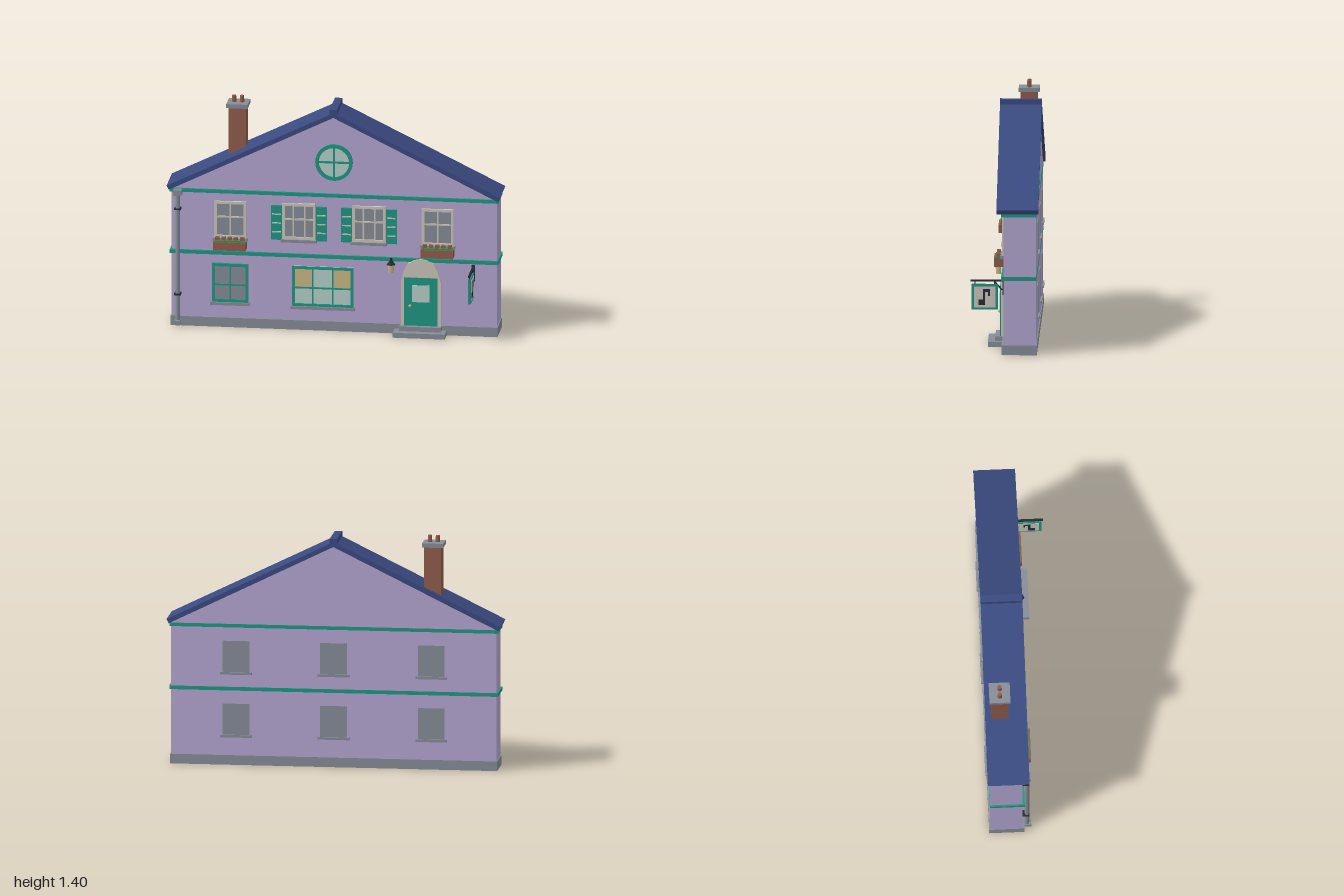
import * as THREE from 'three';

const mat = (name, color) => {
  const m = new THREE.MeshStandardMaterial({ color });
  m.name = name;
  return m;
};

export function createModel() {
  const house = new THREE.Group();
  house.name = 'house';
  const wall = mat('lavender plaster', 0xb3a5cf), teal = mat('teal paint', 0x1f9681);
  const navy = mat('navy slate', 0x3a4a80), stone = mat('grey stone', 0x868d97);
  const brick = mat('brick', 0x8f5b4c), cream = mat('cream trim', 0xcbc5ba);
  const pale = mat('pale glass', 0xb6cfc9), gold = mat('warm yellow', 0xc9b885);
  const dark = mat('dark iron', 0x2a2a38), green = mat('leaf green', 0x4c8a4c);
  const front = 0.005, back = -0.187;

  const add = (parent, name, geo, material) => {
    const m = new THREE.Mesh(geo, material);
    m.name = name;
    parent.add(m);
    return m;
  };
  // Box given by its limits on each axis
  const box = (parent, name, material, x0, x1, y0, y1, z0, z1) => {
    const m = add(parent, name, new THREE.BoxGeometry(x1 - x0, y1 - y0, z1 - z0), material);
    m.position.set((x0 + x1) / 2, (y0 + y1) / 2, (z0 + z1) / 2);
    return m;
  };
  const cyl = (parent, name, material, r0, r1, x, y0, y1, z, sides = 12) => {
    const m = add(parent, name, new THREE.CylinderGeometry(r0, r1, y1 - y0, sides), material);
    m.position.set(x, (y0 + y1) / 2, z);
    return m;
  };
  const prism = (parent, name, material, pts, z0, z1) => {
    const shape = new THREE.Shape(pts.map(p => new THREE.Vector2(...p)));
    const geo = new THREE.ExtrudeGeometry(shape, { depth: z1 - z0, bevelEnabled: false });
    geo.translate(0, 0, z0);
    return add(parent, name, geo, material);
  };
  const group = name => {
    const g = new THREE.Group();
    g.name = name;
    house.add(g);
    return g;
  };

  // Walls, plinth and bands
  prism(house, 'walls', wall, [[-0.975, 0.03], [0.975, 0.03], [0.975, 0.857], [0, 1.337], [-0.975, 0.857]], back, front);
  box(house, 'plinth', stone, -0.98, 0.98, 0, 0.058, -0.193, 0.017);
  box(house, 'floorBand', teal, -0.985, 0.985, 0.449, 0.471, -0.19, 0.019);
  box(house, 'eavesBand', teal, -0.985, 0.985, 0.831, 0.852, -0.19, 0.019);

  // Roof slopes and ridge
  for (const s of [-1, 1]) {
    const pts = [[0, 1.335], [s * 0.988, 0.849], [s, 0.875], [0, 1.365]];
    prism(house, s > 0 ? 'leftRoofSlope' : 'rightRoofSlope', navy, pts, -0.202, 0.047);
  }
  box(house, 'ridge', navy, -0.022, 0.022, 1.35, 1.385, -0.202, 0.047);

  // Chimney
  const chimney = group('chimney');
  box(chimney, 'stack', brick, -0.642, -0.538, 0.98, 1.342, -0.165, -0.063);
  box(chimney, 'chimneyCap', stone, -0.655, -0.527, 1.34, 1.365, -0.177, -0.052);
  for (const x of [-0.615, -0.568]) cyl(chimney, 'chimneyPot', brick, 0.012, 0.014, x, 1.365, 1.405, -0.114);

  // Framed window; xs and ys list the glazing bars
  const frameWindow = (name, paint, glass, x0, x1, y0, y1, xs, ys, t) => {
    const g = group(name), z = 0.021;
    box(g, 'glass', glass, x0, x1, y0, y1, front - 0.005, 0.011);
    box(g, 'frameSide', paint, x0, x0 + t, y0, y1, 0, z);
    box(g, 'frameSide', paint, x1 - t, x1, y0, y1, 0, z);
    box(g, 'frameTop', paint, x0 + t, x1 - t, y1 - t, y1, 0, z);
    box(g, 'frameBottom', paint, x0 + t, x1 - t, y0, y0 + t, 0, z);
    for (const x of xs) box(g, 'glazingBar', paint, x - 0.005, x + 0.005, y0 + t, y1 - t, 0, 0.017);
    for (const y of ys) box(g, 'glazingBar', paint, x0 + t, x1 - t, y - 0.005, y + 0.005, 0, 0.016);
    box(g, 'sill', stone, x0 - 0.008, x1 + 0.008, y0 - 0.016, y0 + 0.001, 0, 0.032);
    return g;
  };

  for (const s of [-1, 1]) {
    // Outer upper windows with flower boxes
    const c = s * 0.622;
    const w = frameWindow('flowerWindow', cream, stone, c - 0.096, c + 0.096, 0.555, 0.782, [c], [0.685], 0.016);
    box(w, 'flowerBox', brick, c - 0.098, c + 0.098, 0.49, 0.54, 0, 0.068);
    box(w, 'leaves', green, c - 0.09, c + 0.09, 0.538, 0.55, 0.014, 0.06);
    for (let i = 0; i < 5; i++) {
      const x = c + (i - 2) * 0.037;
      box(w, 'flower', brick, x - 0.012, x + 0.012, 0.545, 0.567, 0.03, 0.052);
    }
    // Inner upper windows with shutters
    const d = s * 0.21;
    const v = frameWindow('shutteredWindow', cream, stone, d - 0.1, d + 0.1, 0.56, 0.784, [d - 0.034, d + 0.034], [0.685], 0.016);
    for (const k of [-1, 1]) {
      const x = d + k * 0.134;
      box(v, 'shutter', teal, x - 0.033, x + 0.033, 0.555, 0.767, 0, 0.018);
      for (const y of [0.605, 0.66, 0.715]) box(v, 'slat', cream, x - 0.026, x + 0.026, y - 0.004, y + 0.004, 0.016, 0.021);
    }
  }

  // Ground floor windows
  frameWindow('groundWindow', teal, stone, -0.732, -0.513, 0.155, 0.395, [-0.622], [0.262], 0.018);
  const shop = frameWindow('shopWindow', teal, pale, -0.25, 0.117, 0.148, 0.395, [-0.128, -0.008], [0.262], 0.016);
  box(shop, 'blind', gold, -0.234, -0.133, 0.267, 0.379, 0.01, 0.013);
  box(shop, 'blind', gold, -0.003, 0.101, 0.267, 0.379, 0.01, 0.013);

  // Round gable window
  const round = group('roundWindow');
  const ring = new THREE.Shape().absarc(0, 0, 0.112, 0, Math.PI * 2);
  ring.holes.push(new THREE.Path().absarc(0, 0, 0.091, 0, Math.PI * 2, true));
  const ringGeo = new THREE.ExtrudeGeometry(ring, { depth: 0.022, bevelEnabled: false, curveSegments: 16 });
  add(round, 'roundFrame', ringGeo, teal).position.set(0, 1.048, 0);
  add(round, 'roundGlass', new THREE.CircleGeometry(0.095, 32), pale).position.set(0, 1.048, 0.011);
  box(round, 'crossBar', teal, -0.006, 0.006, 0.955, 1.141, 0.002, 0.018);
  box(round, 'crossBar', teal, -0.093, 0.093, 1.042, 1.054, 0.002, 0.017);

  // Door with arched surround and steps
  const door = group('door');
  prism(door, 'doorSurround', cream, [[0.402, 0.05], [0.642, 0.05], [0.642, 0.325], [0.625, 0.39], [0.598, 0.44],
    [0.56, 0.462], [0.522, 0.47], [0.484, 0.462], [0.446, 0.44], [0.419, 0.39], [0.402, 0.325]], 0, 0.028);
  box(door, 'doorLeaf', teal, 0.422, 0.622, 0.058, 0.355, 0.02, 0.034);
  box(door, 'doorGlass', pale, 0.472, 0.574, 0.205, 0.31, 0.032, 0.037);
  const knob = add(door, 'knob', new THREE.SphereGeometry(0.009, 12, 8), gold);
  knob.position.set(0.459, 0.182, 0.04);
  box(door, 'upperStep', stone, 0.397, 0.647, 0.03, 0.058, 0, 0.062);
  box(door, 'lowerStep', stone, 0.363, 0.675, 0, 0.03, 0, 0.105);

  // Wall lantern
  const lantern = group('lantern');
  box(lantern, 'lanternArm', dark, 0.339, 0.351, 0.452, 0.462, 0, 0.045);
  cyl(lantern, 'lanternGlass', gold, 0.022, 0.017, 0.345, 0.388, 0.438, 0.045, 6);
  cyl(lantern, 'lanternCap', dark, 0.006, 0.029, 0.345, 0.436, 0.462, 0.045, 6);
  cyl(lantern, 'lanternFinial', dark, 0.006, 0.006, 0.345, 0.46, 0.476, 0.045, 6);

  // Hanging sign with a music note on both faces
  const sign = group('hangingSign');
  const sx = 0.834;
  box(sign, 'wallPlate', dark, sx - 0.01, sx + 0.01, 0.34, 0.44, 0, 0.014);
  box(sign, 'signArm', dark, sx - 0.006, sx + 0.006, 0.42, 0.432, 0, 0.205);
  const brace = box(sign, 'armBrace', dark, sx - 0.004, sx + 0.004, 0.39, 0.398, 0.004, 0.072);
  brace.rotation.x = -0.85;
  for (const z of [0.062, 0.177]) box(sign, 'hanger', dark, sx - 0.003, sx + 0.003, 0.4, 0.425, z - 0.003, z + 0.003);
  box(sign, 'signFrame', teal, sx - 0.008, sx + 0.008, 0.252, 0.405, 0.042, 0.197);
  box(sign, 'signPanel', cream, sx - 0.01, sx + 0.01, 0.266, 0.391, 0.056, 0.183);
  for (const [y0, y1, z0, z1] of [[0.28, 0.313, 0.125, 0.157], [0.28, 0.358, 0.117, 0.13],
    [0.358, 0.376, 0.089, 0.13], [0.336, 0.358, 0.089, 0.1]])
    box(sign, 'musicNote', dark, sx - 0.012, sx + 0.012, y0, y1, z0, z1);

  // Drainpipe
  const pipe = group('drainpipe');
  cyl(pipe, 'pipe', stone, 0.014, 0.014, -0.935, 0.025, 0.82, 0.033);
  box(pipe, 'hopper', stone, -0.96, -0.91, 0.815, 0.85, 0.008, 0.056);
  box(pipe, 'shoe', stone, -0.951, -0.919, 0.012, 0.04, 0.01, 0.06);
  for (const y of [0.2, 0.73]) box(pipe, 'pipeClip', dark, -0.955, -0.915, y - 0.005, y + 0.005, 0, 0.049);

  // Plain windows on the back
  const rear = group('backWindows');
  for (const x of [-0.585, 0, 0.585]) for (const y of [0.18, 0.56]) {
    box(rear, 'backGlass', stone, x - 0.08, x + 0.08, y, y + 0.19, back - 0.005, back + 0.004);
    box(rear, 'backSill', stone, x - 0.094, x + 0.094, y - 0.013, y + 0.002, back - 0.016, back + 0.004);
  }
  return house;
}
